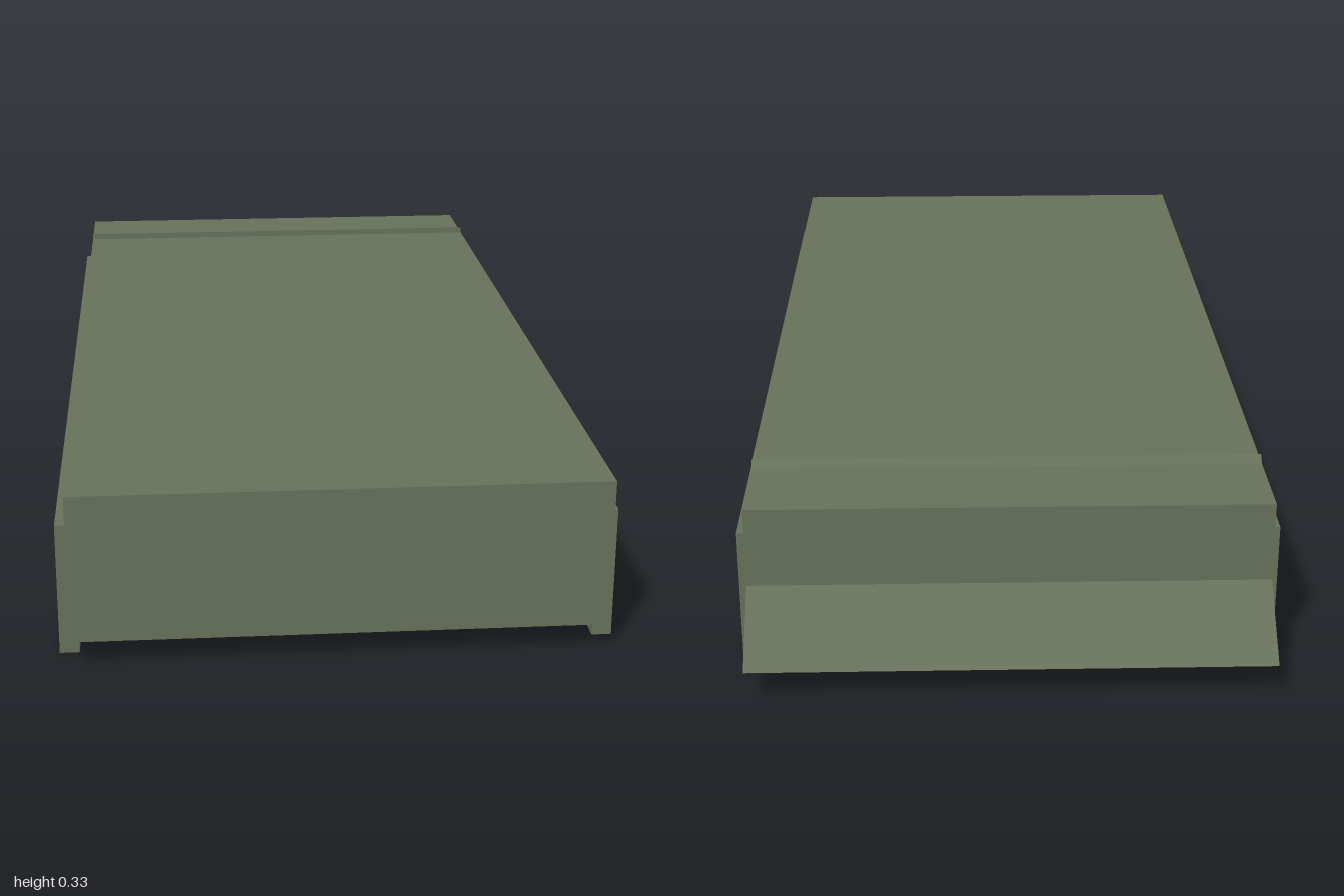
import * as THREE from 'three';

export function createModel() {
  const group = new THREE.Group();
  const olive = new THREE.MeshStandardMaterial({ color: 0x66705a });
  olive.name = 'olive green';

  const add = (name, geometry) => {
    const mesh = new THREE.Mesh(geometry, olive);
    mesh.name = name;
    group.add(mesh);
    return mesh;
  };

  // Box given by its limits on each axis
  const box = (name, x0, x1, y0, y1, z0, z1) =>
    add(name, new THREE.BoxGeometry(x1 - x0, y1 - y0, z1 - z0))
      .position.set((x0 + x1) / 2, (y0 + y1) / 2, (z0 + z1) / 2);

  // Prism across the full width from a [z, y] side profile
  const halfWidth = 0.47;
  const prism = (name, profile) => {
    const shape = new THREE.Shape(profile.map(([z, y]) => new THREE.Vector2(-z, y)));
    const geometry = new THREE.ExtrudeGeometry(shape, { depth: halfWidth * 2, bevelEnabled: false });
    geometry.translate(0, 0, -halfWidth);
    geometry.rotateY(Math.PI / 2);
    add(name, geometry);
  };

  // Main slab
  box('body', -halfWidth, halfWidth, 0.05, 0.32, -0.88, 1);

  // Side skirts, reaching the ground
  for (const [side, name] of [[1, 'leftSkirt'], [-1, 'rightSkirt']]) {
    const inner = side * 0.456, outer = side * 0.491;
    box(name, Math.min(inner, outer), Math.max(inner, outer), 0, 0.243, -0.818, 0.94);
  }

  // Sloping lip at the back
  prism('rearLip', [[-0.87, 0.17], [-0.88, 0.17], [-1, 0.063], [-0.87, 0.063]]);

  // Low ridge across the top
  prism('topRidge', [[-0.697, 0.315], [-0.697, 0.333], [-0.712, 0.32], [-0.712, 0.315]]);

  return group;
}
